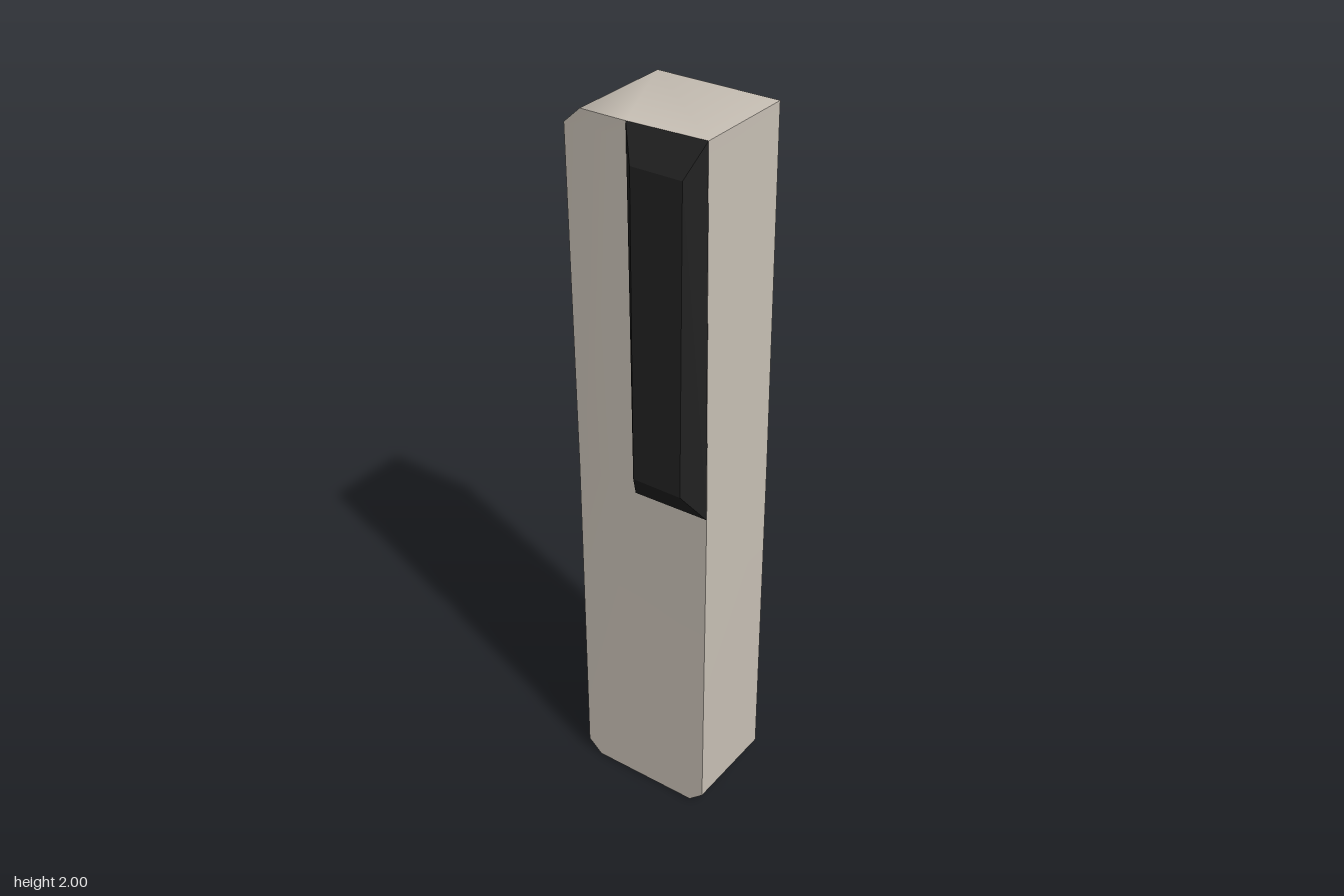
import * as THREE from 'three';
import { toCreasedNormals } from 'three/addons/utils/BufferGeometryUtils.js';

// Skins a stack of closed rings and caps both ends.
function loft(rings, crease) {
  const n = rings[0].length;
  const index = [];
  for (let i = 0; i < rings.length - 1; i++) {
    for (let j = 0; j < n; j++) {
      const a = i * n + j, b = i * n + (j + 1) % n;
      index.push(a, b, b + n, a, b + n, a + n);
    }
  }
  const last = (rings.length - 1) * n;
  for (let j = 1; j < n - 1; j++) {
    index.push(0, j + 1, j, last, last + j, last + j + 1);
  }
  const geometry = new THREE.BufferGeometry();
  geometry.setAttribute('position', new THREE.Float32BufferAttribute(rings.flat(2), 3));
  geometry.setIndex(index);
  return toCreasedNormals(geometry, crease);
}

export function createModel() {
  const stone = new THREE.MeshStandardMaterial({ color: 0xcac2b7 });
  stone.name = 'warmGrey';
  const black = new THREE.MeshStandardMaterial({ color: 0x222222 });
  black.name = 'black';

  const group = new THREE.Group();
  group.name = 'slab';

  // Tall block: [height, left x, right x, front z at left, front z at right]
  const back = -0.168;
  const levels = [
    [0, -0.158, 0.158, 0.11, 0.11],
    [0.038, -0.2, 0.2, 0.11, 0.11],
    [1, -0.2, 0.2, 0.11, 0.11],
    [1.957, -0.194, 0.195, 0.13, 0.12],
    [2, -0.146, 0.195, 0.131, 0.12],
  ];
  const rings = levels.map(([y, xl, xr, zl, zr]) => [
    [xl, y, back], [xl, y, zl], [-0.018, y, zl], [xr, y, zr], [xr, y, back],
  ]);
  const body = new THREE.Mesh(loft(rings, 0.78), stone);
  body.name = 'body';
  group.add(body);

  // Raised bevelled panel on the upper front
  const panel = new THREE.Mesh(loft([
    [[-0.02, 0.99, 0.109], [0.2, 0.995, 0.109], [0.195, 2, 0.12], [-0.018, 2, 0.131]],
    [[0.016, 1.08, 0.167], [0.158, 1.08, 0.167], [0.16, 1.915, 0.167], [0.018, 1.915, 0.167]],
  ], 0.1), black);
  panel.name = 'frontPanel';
  group.add(panel);

  return group;
}
